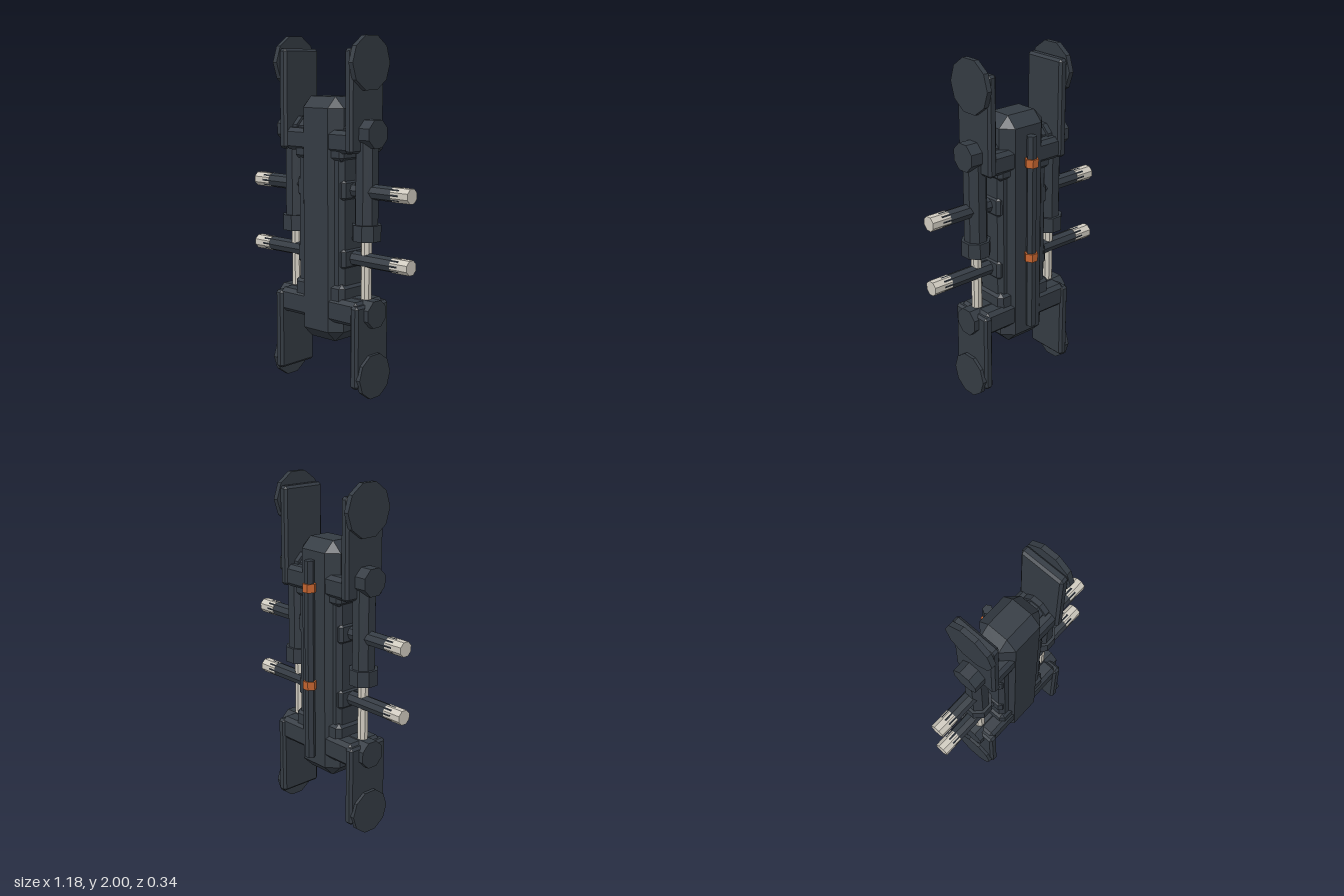
import * as THREE from 'three';
import { ConvexGeometry } from 'three/addons/geometries/ConvexGeometry.js';

const ZC = 0.018; // depth of the main centre plane

export function createModel() {
  const model = new THREE.Group();
  model.name = 'hydraulicFrame';
  const dark = new THREE.MeshStandardMaterial({ color: 0x343b43 });
  dark.name = 'dark steel';
  const pale = new THREE.MeshStandardMaterial({ color: 0xd0cbc0 });
  pale.name = 'pale metal';
  const orange = new THREE.MeshStandardMaterial({ color: 0xc4642f });
  orange.name = 'orange clamp';

  function add(name, geometry, material, x, y, z) {
    const mesh = new THREE.Mesh(geometry, material);
    mesh.name = name;
    mesh.position.set(x, y, z);
    model.add(mesh);
    return mesh;
  }

  // Box with every edge and corner cut by c
  function chamferBox(w, h, d, c) {
    const points = [];
    for (const sx of [-1, 1]) for (const sy of [-1, 1]) for (const sz of [-1, 1]) {
      for (let full = 0; full < 3; full++) {
        points.push(new THREE.Vector3(
          sx * (w / 2 - (full === 0 ? 0 : c)),
          sy * (h / 2 - (full === 1 ? 0 : c)),
          sz * (d / 2 - (full === 2 ? 0 : c))));
      }
    }
    return new ConvexGeometry(points);
  }

  // Faceted prism; turn is a fraction of one facet
  function prism(r, length, sides, turn = 0, alongX = false) {
    let g = new THREE.CylinderGeometry(r, r, length, sides, 1, false, turn * 2 * Math.PI / sides);
    if (alongX) g.rotateZ(Math.PI / 2);
    g = g.toNonIndexed();
    g.computeVertexNormals();
    return g;
  }

  // Central body
  add('body', chamferBox(0.31, 1.38, 0.25, 0.062), dark, 0, 0.98, 0.015);
  add('bodySideRails', chamferBox(0.35, 0.86, 0.19, 0.025), dark, 0, 0.97, ZC);
  add('upperCollar', chamferBox(0.372, 0.09, 0.22, 0.02), dark, 0, 1.365, ZC);
  add('lowerCollar', chamferBox(0.38, 0.12, 0.22, 0.025), dark, 0, 0.575, ZC);
  add('upperCrossbar', chamferBox(0.5, 0.125, 0.245, 0.022), dark, 0, 1.428, 0.015);
  add('lowerCrossbar', chamferBox(0.6, 0.14, 0.245, 0.022), dark, 0, 0.483, 0.015);

  for (const s of [-1, 1]) {
    // Legs with round pads
    add('upperLeg', chamferBox(0.056, 0.56, 0.27, 0.014), dark, s * 0.25, 1.65, 0.018);
    add('upperPad', prism(0.153, 0.03, 10, 0, true), dark, s * 0.287, 1.854, ZC);
    add('lowerLeg', chamferBox(0.056, 0.47, 0.27, 0.014), dark, s * 0.293, 0.302, 0.018);
    add('lowerPad', prism(0.13, 0.026, 10, 0, true), dark, s * 0.327, 0.124, ZC);

    // Hydraulic ram between the two pivots
    add('upperPivot', prism(0.082, 0.16, 8, 0.5, true), dark, s * 0.272, 1.475, ZC);
    add('upperHub', prism(0.066, 0.12, 8, 0.5, true), dark, s * 0.19, 1.475, ZC);
    add('lowerPivot', prism(0.082, 0.16, 8, 0.5, true), dark, s * 0.272, 0.481, ZC);
    add('ramCylinder', prism(0.067, 0.56, 8, 0.5), dark, s * 0.271, 1.22, ZC);
    add('ramCollar', prism(0.084, 0.09, 8, 0.5), dark, s * 0.272, 0.932, ZC);
    add('ramRod', prism(0.031, 0.46, 8, 0.5), pale, s * 0.271, 0.7, ZC);

    // Side arms with pale tips
    for (const y of [0.776, 1.16]) {
      add('armSocket', chamferBox(0.075, 0.12, 0.18, 0.018), dark, s * 0.147, y, ZC);
      add('arm', prism(0.0425, 0.42, 8, 0, true), dark, s * 0.31, y, ZC);
      add('armTip', prism(0.0435, 0.12, 8, 0.5, true), pale, s * 0.528, y, ZC);
    }
  }

  // Pipe on the back with clamps
  add('backPipe', prism(0.029, 1.16, 6, 0.5), dark, 0, 0.98, -0.138);
  for (const y of [0.843, 1.408]) {
    add('pipeClamp', prism(0.04, 0.048, 6, 0.5), orange, 0, y, -0.138);
  }
  return model;
}
